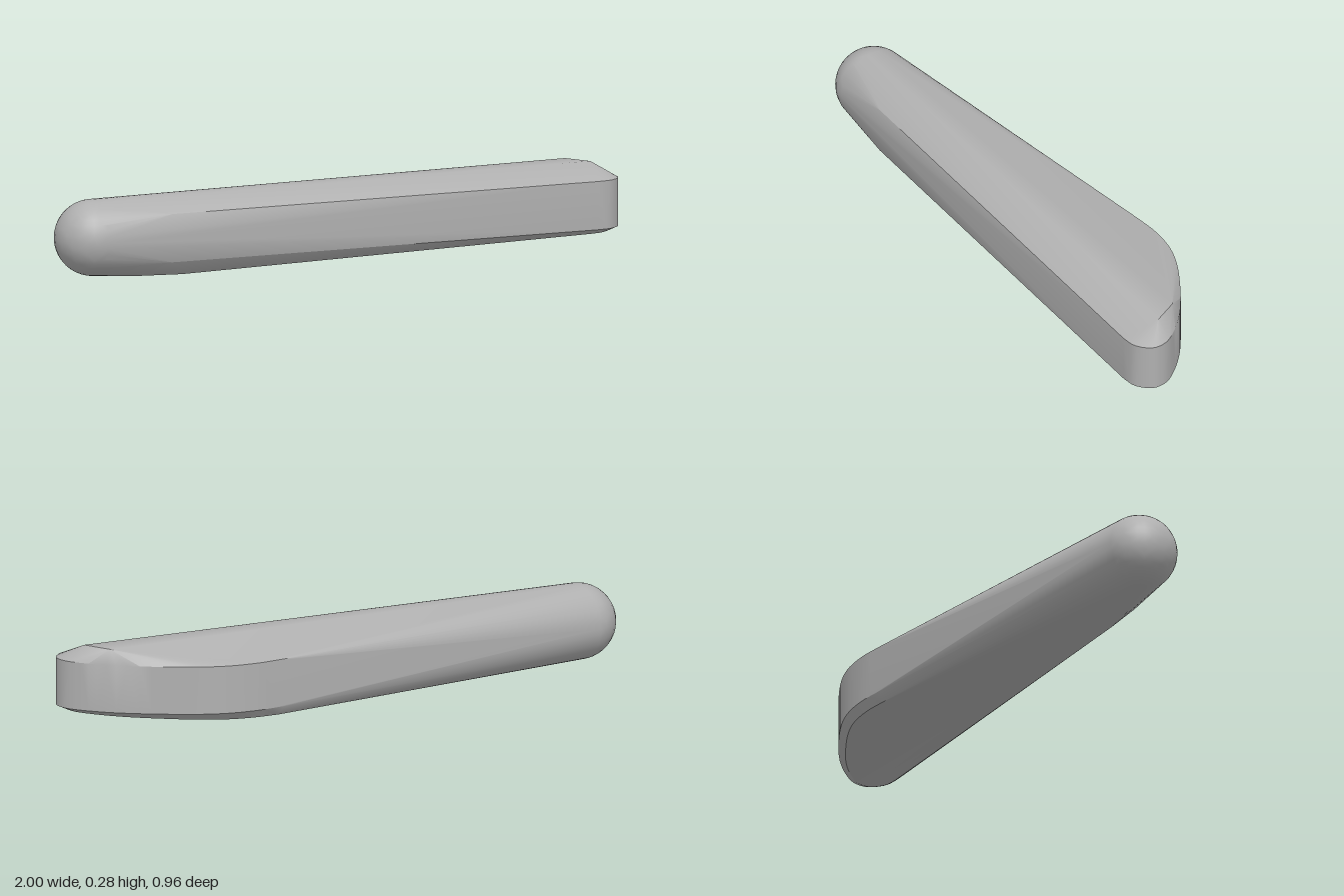
import * as THREE from 'three';
import { ConvexGeometry } from 'three/addons/geometries/ConvexGeometry.js';
import { toCreasedNormals } from 'three/addons/utils/BufferGeometryUtils.js';

export function createModel() {
  const model = new THREE.Group();
  const grey = new THREE.MeshStandardMaterial({ color: 0xb0b0b0 });
  grey.name = 'plain grey';
  const points = [];
  const add = (x, y, z) => points.push(new THREE.Vector3(x, y, z));

  // Ball at the narrow end
  const ball = new THREE.SphereGeometry(0.134, 32, 20).attributes.position;
  for (let i = 0; i < ball.count; i++) {
    add(ball.getX(i) - 0.866, ball.getY(i) + 0.14, ball.getZ(i) + 0.345);
  }
  add(-0.855, 0.14, 0.48);

  // Upright wall: a smooth rounded outline at the wide end
  const outline = new THREE.CatmullRomCurve3([
    [0.925, -0.219], [0.975, -0.25], [1, -0.31], [0.975, -0.36], [0.91, -0.4],
    [0.8, -0.44], [0.65, -0.468], [0.5, -0.481], [0.4, -0.472], [0.3, -0.44], [0.21, -0.393],
  ].map(([x, z]) => new THREE.Vector3(x, 0, z))).getPoints(36);
  outline.push(new THREE.Vector3(-0.59, 0, 0.373));
  for (const p of outline) {
    add(p.x, 0.224, p.z);
    add(p.x, 0.054, p.z);
    // Shallow underside bevel, rising toward the wide end
    const x = 0.5 + (p.x - 0.5) * 0.93;
    const z = -0.3 + (p.z + 0.3) * 0.86;
    if (p.x > 0) add(x, 0.015 + 0.025 * x, z);
  }

  // Top ridge end and the lowest points of the underside
  add(0.82, 0.275, -0.41);
  add(0.905, 0.275, -0.345);
  add(-0.7, 0.002, 0.34);
  add(-0.55, 0, 0.3);

  const geometry = toCreasedNormals(new ConvexGeometry(points), 0.5);
  const body = new THREE.Mesh(geometry, grey);
  body.name = 'taperedBody';
  model.add(body);
  return model;
}
